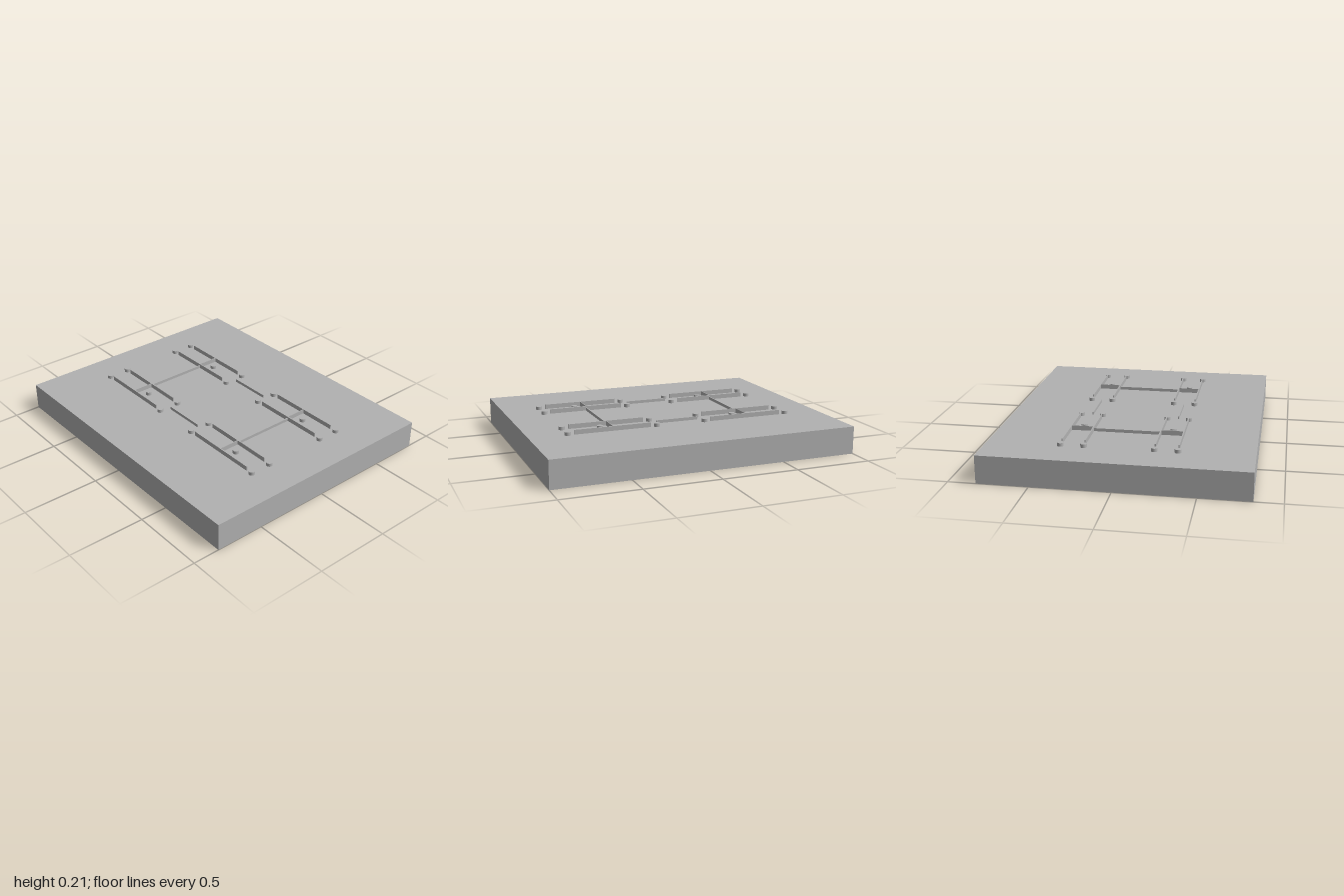
import * as THREE from 'three';

export function createModel() {
  const model = new THREE.Group();
  const grey = new THREE.MeshStandardMaterial({ color: 0xb2b2b2 });
  grey.name = 'grey';
  const top = 0.18; // upper face of the slab

  function add(name, geometry, x, y, z) {
    const mesh = new THREE.Mesh(geometry, grey);
    mesh.name = name;
    mesh.position.set(x, y, z);
    model.add(mesh);
  }
  // Box standing on the slab
  const bar = (name, w, h, d, x, z) => add(name, new THREE.BoxGeometry(w, h, d), x, top + h / 2, z);
  // Short round peg standing on the slab
  const pegGeometry = new THREE.CylinderGeometry(0.02, 0.02, 0.022, 24);
  const peg = (name, x, z) => add(name, pegGeometry, x, top + 0.011, z);

  add('baseSlab', new THREE.BoxGeometry(2, top, 1.65), 0, top / 2, 0);

  const thin = 0.007, barX = 0.46, outerZ = 0.36, innerZ = 0.216, midZ = 0.288;
  for (const sx of [-1, 1]) {
    // Low rail joining the front and back pairs
    bar('crossRail', thin, 0.02, innerZ * 2, sx * barX, 0);
    for (const sz of [-1, 1]) {
      // Tall bars with a peg beyond each end
      for (const z of [outerZ, innerZ]) {
        bar('longBar', 0.5, 0.03, thin, sx * barX, sz * z);
        for (const dx of [-0.294, 0.294]) peg('endPeg', sx * barX + dx, sz * z);
      }
      // Narrow web between the two tall bars, with a peg beside it
      bar('pairWeb', 0.004, 0.03, outerZ - innerZ, sx * barX, sz * midZ);
      peg('middlePeg', sx * barX + 0.064, sz * midZ);
    }
  }
  // Low bars on the centre line
  for (const sz of [-1, 1]) bar('centreBar', 0.288, 0.02, thin, 0, sz * midZ);

  return model;
}
